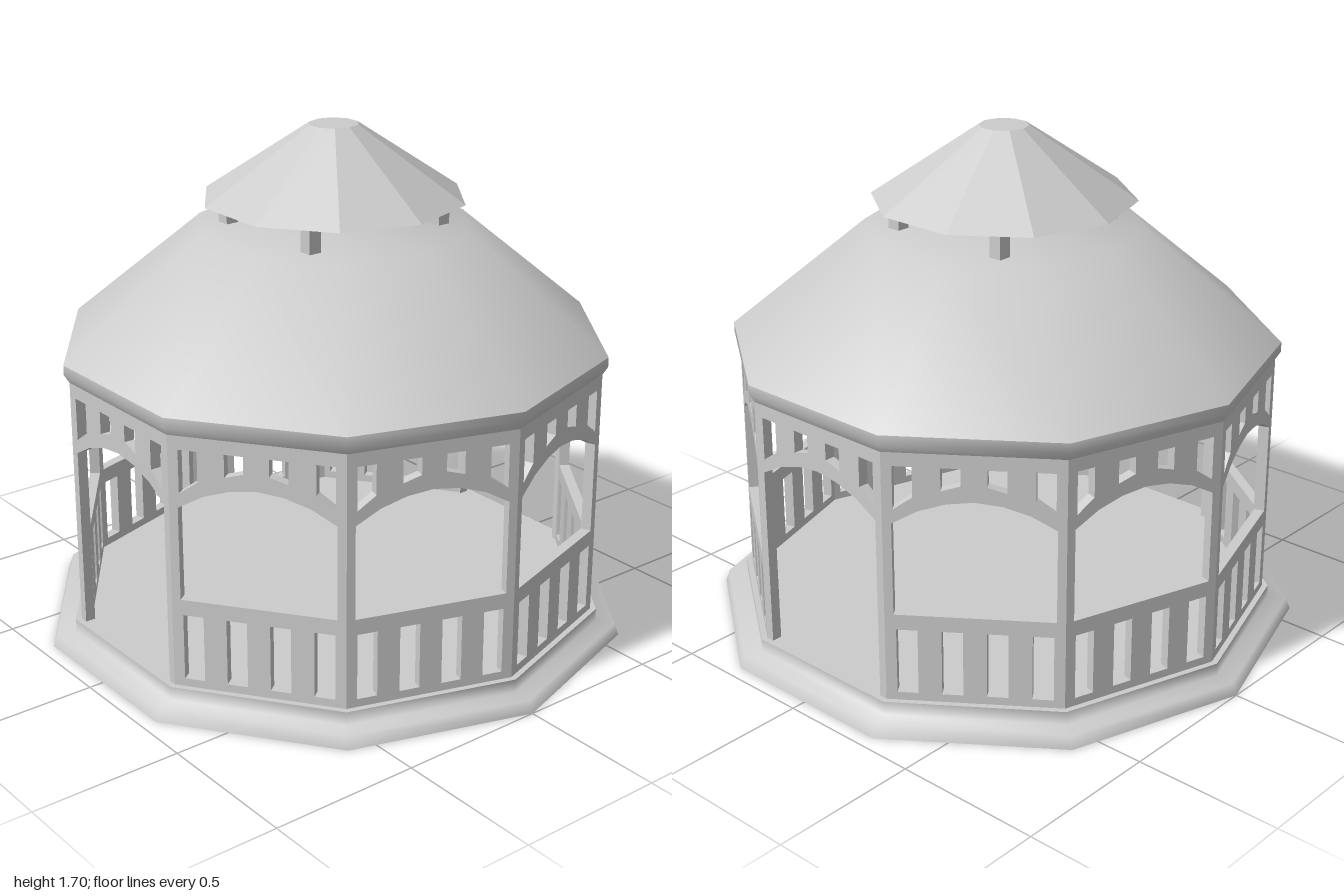
import * as THREE from 'three';

const SIDES = 10;
const WALL_R = 0.9;
const APOTHEM = WALL_R * Math.cos(Math.PI / SIDES);
const HALF = WALL_R * Math.sin(Math.PI / SIDES);
const DEPTH = 0.035;
const FLOOR = 0.085, EAVE = 0.99, RAIL_TOP = 0.385, INNER = 0.25;

const smooth = new THREE.MeshStandardMaterial({ color: 0xcccccc, side: THREE.DoubleSide });
const flat = new THREE.MeshStandardMaterial({ color: 0xcccccc, flatShading: true, side: THREE.DoubleSide });

const vec = ([x, y]) => new THREE.Vector2(x, y);

function addMesh(parent, name, geometry, material) {
  const mesh = new THREE.Mesh(geometry, material);
  mesh.name = name;
  parent.add(mesh);
  return mesh;
}

// Ten-sided ring from a [radius, height] profile, with corners on the x axis
function ring(points) {
  return new THREE.LatheGeometry(points.map(vec), SIDES, Math.PI / 2);
}

// Flat ten-sided disc at a given height
function disc(radius, y) {
  return new THREE.CircleGeometry(radius, SIDES).rotateX(-Math.PI / 2).translate(0, y, 0);
}

// One wall bay: posts, arched frieze with slots, and a railing unless it is a doorway
function bayGeometry(isDoor) {
  const arch = [[-INNER, 0.695], [-0.17, 0.74], [-0.085, 0.767], [0, 0.777],
    [0.085, 0.767], [0.17, 0.74], [INNER, 0.695]];
  const right = [[HALF, FLOOR], [HALF, EAVE], [-HALF, EAVE], [-HALF, FLOOR]];
  const outline = isDoor
    ? [[-INNER, FLOOR], ...arch, [INNER, FLOOR], ...right]
    : right;
  const shape = new THREE.Shape(outline.map(vec));
  const cut = (points) => shape.holes.push(new THREE.Path(points.map(vec)));

  if (!isDoor) cut([[-INNER, RAIL_TOP], ...arch, [INNER, RAIL_TOP]]);

  for (const s of [-1, 1]) {
    // Frieze slots, their sills following the arch
    for (const [a, b, ya, yb] of [[0.04, 0.1, 0.828, 0.81], [0.185, 0.245, 0.785, 0.742]]) {
      cut([[s * a, ya], [s * b, yb], [s * b, 0.885], [s * a, 0.885]]);
    }
    // Railing slots
    if (!isDoor) {
      for (const c of [0.07, 0.21]) {
        const a = s * c - 0.033, b = s * c + 0.033;
        cut([[a, 0.112], [b, 0.112], [b, 0.333], [a, 0.333]]);
      }
    }
  }
  return new THREE.ExtrudeGeometry(shape, { depth: DEPTH, bevelEnabled: false })
    .translate(0, 0, APOTHEM - DEPTH);
}

export function createModel() {
  const model = new THREE.Group();
  model.name = 'gazebo';

  // Hollow stepped base and floor
  addMesh(model, 'base', ring([[1, 0], [0.985, 0.04], [0.92, 0.04], [0.92, FLOOR]]), smooth);
  addMesh(model, 'floor', disc(0.92, FLOOR), flat);

  // Ten bays, with doorways at front and back
  const walls = new THREE.Group();
  walls.name = 'walls';
  model.add(walls);
  const door = bayGeometry(true), railed = bayGeometry(false);
  for (let i = 0; i < SIDES; i++) {
    const isDoor = i % 5 === 0;
    const bay = addMesh(walls, isDoor ? 'doorwayBay' : 'railedBay', isDoor ? door : railed, flat);
    bay.rotation.y = (i * 2 * Math.PI) / SIDES;
  }

  // Eave moulding, ceiling and main roof with its flat top
  addMesh(model, 'eaveMoulding', ring([[0.897, 0.925], [0.917, 0.957], [0.917, EAVE]]), smooth);
  addMesh(model, 'ceiling', disc(0.915, EAVE - 0.002), flat);
  addMesh(model, 'mainRoof', ring([[0.917, EAVE], [0.46, 1.37], [0, 1.37]]), smooth);

  // Four short posts carrying the cupola roof
  for (const x of [-0.22, 0.22]) {
    for (const z of [-0.265, 0.265]) {
      const post = addMesh(model, 'cupolaPost', new THREE.BoxGeometry(0.045, 0.11, 0.045), flat);
      post.position.set(x, 1.415, z);
    }
  }
  const cupola = new THREE.CylinderGeometry(0.082, 0.437, 0.24, SIDES, 1, false, Math.PI / 2);
  addMesh(model, 'cupolaRoof', cupola, flat).position.y = 1.58;

  return model;
}
